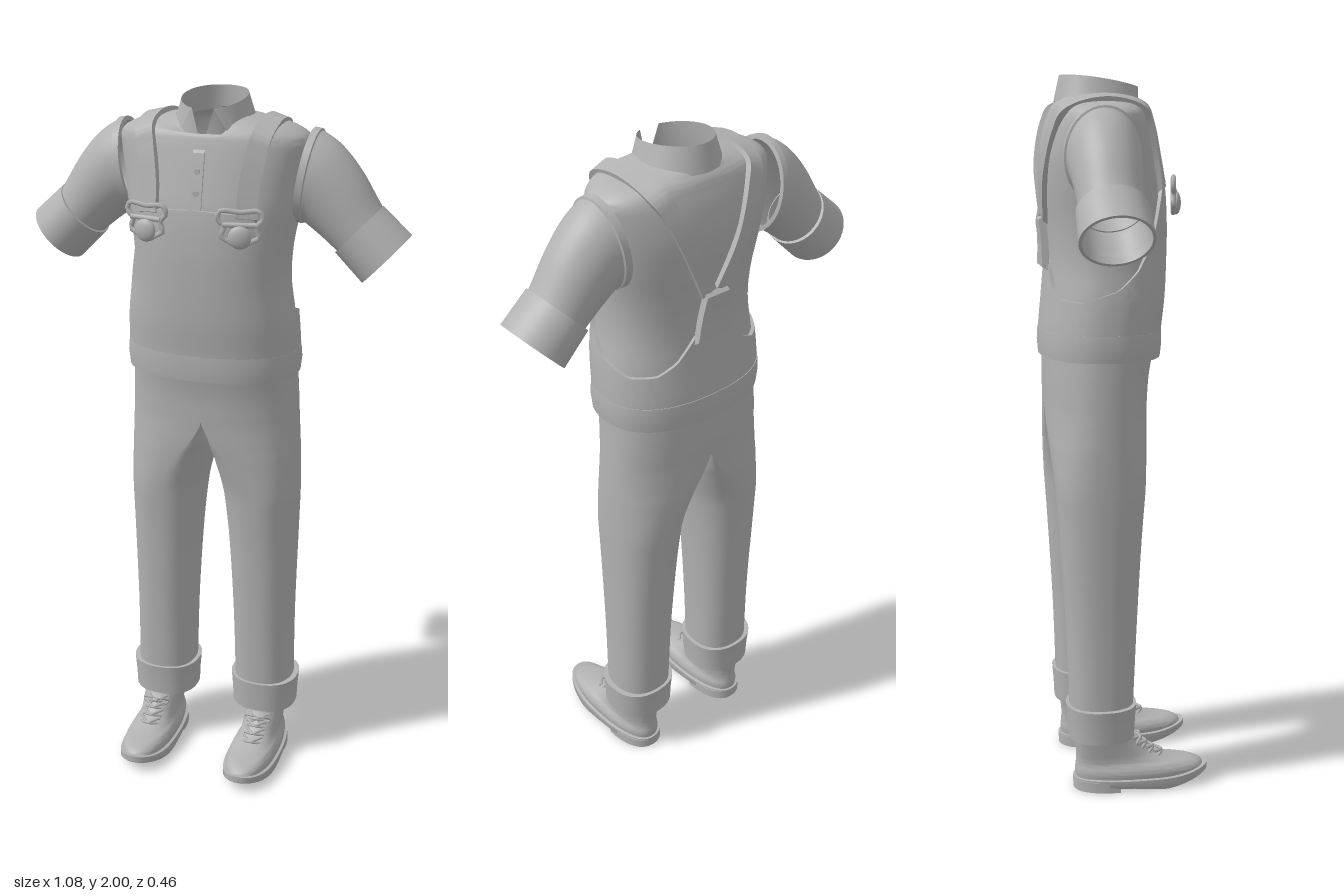
import * as THREE from 'three';
import { toCreasedNormals } from 'three/addons/utils/BufferGeometryUtils.js';

const V = (x, y, z) => new THREE.Vector3(x, y, z);
const lerp = THREE.MathUtils.lerp, TAU = Math.PI * 2, POW = 0.86;
const spow = (a) => Math.sign(a) * Math.abs(a) ** POW;

// Smooth interpolation through rows of numbers; u is a fractional row index
function sample(rows, u) {
  const n = rows.length - 1, i = Math.min(Math.floor(u), n - 1), f = u - i;
  const [a, b, c, d] = [-1, 0, 1, 2].map((k) => rows[THREE.MathUtils.clamp(i + k, 0, n)]);
  return b.map((_, k) => b[k] + 0.5 * f * (c[k] - a[k] + f * (2 * a[k] - 5 * b[k] + 4 * c[k] - d[k]
    + f * (3 * (b[k] - c[k]) + d[k] - a[k]))));
}

// Quad grid from fn(u, v); closed wraps u
function grid(fn, nu, nv, closed = true, crease = 0.7) {
  const cols = closed ? nu : nu + 1, pos = [], idx = [];
  for (let j = 0; j <= nv; j++) for (let i = 0; i < cols; i++) pos.push(...fn(i / nu, j / nv).toArray());
  for (let j = 0; j < nv; j++) for (let i = 0; i < nu; i++) {
    const a = j * cols + i, b = j * cols + (i + 1) % cols;
    idx.push(a, b, b + cols, a, b + cols, a + cols);
  }
  const g = new THREE.BufferGeometry();
  g.setAttribute('position', new THREE.Float32BufferAttribute(pos, 3));
  g.setIndex(idx);
  g.computeVertexNormals();
  return crease ? toCreasedNormals(g, crease) : g;
}

// Horizontal rounded ring; t = 0 faces the front
const ring = (t, y, cx, rx, zf, zb) =>
  V(cx + rx * spow(Math.sin(t)), y, (zf + zb) / 2 + (zf - zb) / 2 * spow(Math.cos(t)));

// Stack of rings [y, cx, rx, zFront, zBack]
function loft(rows, steps = 1, nu = 48) {
  const n = rows.length - 1;
  return grid((u, v) => ring(u * TAU, ...sample(rows, v * n)), nu, n * steps);
}

// Torso rows: y, half width, front z, back z, front neckline dip
const TORSO = [[1.24, .235, .1, -.213, 0], [1.31, .235, .105, -.213, 0], [1.4, .23, .115, -.205, 0],
  [1.5, .218, .12, -.198, 0], [1.6, .222, .121, -.203, 0], [1.7, .24, .114, -.214, 0],
  [1.78, .252, .098, -.217, 0], [1.85, .263, .082, -.205, 0], [1.89, .262, .072, -.192, 0],
  [1.915, .225, .066, -.182, .01], [1.93, .165, .062, -.17, .03], [1.942, .1, .058, -.162, .06]];
function torsoAt(t, u, off = 0) {
  const [y, rx, zf, zb, dip] = sample(TORSO, u);
  return ring(t, y - dip * Math.max(0, Math.cos(t)) ** 4, 0, rx + off, zf + off, zb - off);
}
function rowOf(y) {
  let i = 0;
  while (i < TORSO.length - 2 && y > TORSO[i + 1][0]) i++;
  return i + (y - TORSO[i][0]) / (TORSO[i + 1][0] - TORSO[i][0]);
}
// Point and outward normal on the torso at x, y on the front (1) or back (-1)
function onTorso([x, y, side]) {
  const u = rowOf(y), s = Math.min(1, Math.abs(x) / sample(TORSO, u)[1]) ** (1 / POW);
  let t = Math.asin(s);
  if (side < 0) t = Math.PI - t;
  if (x < 0) t = -t;
  const e = 0.03, p = torsoAt(t, u);
  const n = torsoAt(t + e, u).sub(torsoAt(t - e, u))
    .cross(torsoAt(t, Math.min(u + e, TORSO.length - 1)).sub(torsoAt(t, u - e))).normalize();
  if (n.dot(p.clone().sub(V(0, 1.7, -.06))) < 0) n.negate();
  return { p, n };
}

// Flat strip lying on the torso, from half width w0 to w1
function ribbon(path, w0, w1, low, high, steps = 40) {
  const pts = path.map(onTorso);
  const c = new THREE.CatmullRomCurve3(pts.map((q) => q.p)), m = new THREE.CatmullRomCurve3(pts.map((q) => q.n));
  const fn = (u, v) => {
    const k = Math.round(u * 4) % 4, end = v < .001 || v > .999, w = lerp(w0, w1, v);
    const n = m.getPoint(v).normalize(), b = c.getTangent(v).cross(n).normalize();
    return c.getPoint(v).addScaledVector(b, (k === 0 || k === 3 ? -1 : 1) * w)
      .addScaledVector(n, k < 2 || end ? low : high);
  };
  return grid(fn, 4, steps, true, 0.5);
}

// Tilted rings [cx, cy, angle in degrees, radius, z radius] for the sleeves
function tubeRings(rows, steps = 1) {
  const n = rows.length - 1;
  return grid((u, v) => {
    const [x, y, a, r, rz] = sample(rows, v * n), q = a * Math.PI / 180, c = Math.cos(u * TAU) * r;
    return V(x - Math.sin(q) * c, y + Math.cos(q) * c, -.08 + Math.sin(u * TAU) * rz);
  }, 40, n * steps);
}

// Trouser leg rows: y, inner x, outer x, front z, back z, amount joined to the other leg
const LEG = [[.19, .07, .245, .014, -.164, 0], [.45, .064, .243, .026, -.172, 0], [.7, .05, .247, .04, -.186, 0],
  [.86, .033, .25, .053, -.197, 0], [.97, .014, .249, .063, -.206, .35], [1.03, 0, .247, .069, -.21, .68],
  [1.1, 0, .244, .074, -.213, 1], [1.18, 0, .24, .08, -.214, 1], [1.26, 0, .236, .095, -.214, 1]];
function legGeometry() {
  const g = grid((u, v) => {
    const [y, xi, xo, zf, zb, j] = sample(LEG, v * (LEG.length - 1));
    const b = THREE.MathUtils.clamp(j, 0, 1), t = u * TAU;
    const p = ring(t, y, (xi + xo) / 2, (xo - xi) / 2, zf, zb);
    p.x = Math.max(0, lerp(p.x, xo * Math.max(0, spow(Math.sin(t))), b));
    return p;
  }, 48, 48, true, 0);
  // keep the centre line smooth across both halves
  const P = g.attributes.position, N = g.attributes.normal;
  for (let i = 0; i < P.count; i++) if (P.getX(i) < .002) {
    const n = V(0, N.getY(i), N.getZ(i)).normalize();
    N.setXYZ(i, n.x, n.y, n.z);
  }
  return g;
}

// Top edge of the bib by angle in degrees from the front
const BIB = [[0, 1.713], [32, 1.705], [37, 1.69], [45, 1.64], [58, 1.55], [72, 1.48], [90, 1.425], [115, 1.395],
  [140, 1.4], [155, 1.43], [164, 1.47], [170, 1.5], [180, 1.5]];
function bibTop(t) {
  const d = Math.min(t, TAU - t) * 180 / Math.PI;
  const i = Math.max(1, BIB.findIndex((k) => k[0] >= d - 1e-6));
  return lerp(BIB[i - 1][1], BIB[i][1], (d - BIB[i - 1][0]) / (BIB[i][0] - BIB[i - 1][0]));
}

export function createModel() {
  const cloth = new THREE.MeshStandardMaterial({ color: 0xb2b2b2, side: THREE.DoubleSide });
  cloth.name = 'plain grey';
  const model = new THREE.Group();
  model.name = 'workwearOutfit';
  const add = (name, geo, parent = model) => {
    const mesh = new THREE.Mesh(geo, cloth);
    mesh.name = name;
    parent.add(mesh);
    return mesh;
  };
  const wire = (pts, r, closed = false) =>
    new THREE.TubeGeometry(new THREE.CatmullRomCurve3(pts, closed), 28, r, 6, closed);

  // Shirt body, bib and waistband
  const last = TORSO.length - 1;
  add('shirt', grid((u, v) => torsoAt(u * TAU, v * last), 64, last * 4));
  add('bib', grid((u, v) => {
    const t = u * TAU, k = Math.min(1, v * 25 / 24);
    return torsoAt(t, rowOf(lerp(1.28, bibTop(t), k)), v > .99 ? -.003 : .01);
  }, 120, 25));
  add('waistband', loft([[1.238, 0, .234, .09, -.21], [1.235, 0, .245, .112, -.224], [1.272, 0, .249, .116, -.227],
    [1.308, 0, .246, .115, -.225], [1.308, 0, .232, .1, -.21]], 1, 64));

  // Collar stand and folded leaf, open at the front
  const collar = (v0, v1) => grid((u, v) => {
    const at = (k) => {
      const t = lerp(k.gap, 360 - k.gap, u) * Math.PI / 180, f = (1 + Math.cos(t)) / 2;
      return V(k.rx * Math.sin(t), lerp(k.back, k.front, f ** 1.5), -.052 + k.rz * Math.cos(t));
    };
    return at(v0).lerp(at(v1), v);
  }, 48, 4, false);
  const fold = { gap: 20, rx: .088, rz: .11, back: 2, front: 1.968 };
  add('collarStand', collar({ gap: 1, rx: .098, rz: .113, back: 1.935, front: 1.87 }, fold));
  add('collarLeaf', collar({ gap: 42, rx: .113, rz: .126, back: 1.93, front: 1.885 }, fold));

  // Button placket
  add('placket', ribbon([[0, 1.7, 1], [0, 1.78, 1], [0, 1.87, 1]], .016, .016, -.004, .005, 12));
  for (const y of [1.755, 1.81]) {
    const b = add('shirtButton', new THREE.CylinderGeometry(.008, .008, .006, 14).rotateX(Math.PI / 2));
    b.position.copy(onTorso([0, y, 1]).p).z += .006;
  }

  // Patch where the straps meet on the back
  add('backPatch', ribbon([[0, 1.47, -1], [0, 1.55, -1], [0, 1.625, -1]], .062, .035, .002, .022, 12));

  for (const side of [1, -1]) {
    const half = new THREE.Group();
    half.name = side > 0 ? 'leftHalf' : 'rightHalf';
    half.scale.x = side;
    model.add(half);

    // Sleeve with seam and turned cuff
    add('sleeve', tubeRings([[.262, 1.785, -9, .125, .1], [.297, 1.765, -22, .115, .096], [.345, 1.716, -37, .1, .09],
      [.405, 1.645, -43, .083, .084], [.46, 1.59, -43, .08, .084]], 6), half);
    add('sleeveSeam', tubeRings([[.245, 1.786, -9, .118, .096], [.247, 1.786, -9, .13, .106],
      [.266, 1.784, -9, .129, .105], [.27, 1.783, -9, .118, .095]]), half);
    add('sleeveCuff', tubeRings([[.398, 1.65, -43, .078, .082], [.398, 1.65, -43, .088, .094],
      [.477, 1.575, -43, .091, .098], [.477, 1.575, -43, .083, .09], [.41, 1.64, -43, .079, .083]]), half);

    // Shoulder strap from bib to back patch
    add('strap', ribbon([[.133, 1.685, 1], [.137, 1.78, 1], [.15, 1.86, 1], [.161, 1.908, 1], [.165, 1.93, 1],
      [.155, 1.905, -1], [.13, 1.86, -1], [.078, 1.74, -1], [.014, 1.6, -1]], .029, .022, -.006, .013, 64), half);

    // Buckle: wire loop, slide bar and bib button
    const buckle = new THREE.Group();
    buckle.name = 'buckle';
    buckle.position.set(.13, 1.675, .132);
    buckle.rotation.y = .2;
    half.add(buckle);
    add('wireLoop', wire([[-.052, .05], [0, .047], [.052, .05], [.06, .03], [.042, .008], [.05, -.018], [.03, -.03],
      [0, -.045], [-.03, -.03], [-.05, -.018], [-.042, .008], [-.06, .03]].map(([x, y]) => V(x, y, 0)), .007, true), buckle);
    add('slideBar', new THREE.CylinderGeometry(.007, .007, .09, 8).rotateZ(Math.PI / 2).translate(0, .014, .004), buckle);
    add('bibButton', new THREE.SphereGeometry(.031, 24, 12).scale(1, 1, .42).translate(0, -.018, .008), buckle);

    // Trouser leg and turn-up
    add('trouserLeg', legGeometry(), half);
    const cuffRow = (y, r) => [y, .159, r, -.075 + r - .002, -.075 - r + .002];
    add('trouserCuff', loft([cuffRow(.2, .086), cuffRow(.155, .088), cuffRow(.154, .096), cuffRow(.2, .098),
      cuffRow(.25, .102), cuffRow(.25, .086)]), half);

    // Shoe upper, sole and heel
    const shoe = new THREE.Group();
    shoe.name = 'shoe';
    half.add(shoe);
    add('shoeUpper', loft([[.03, .165, .068, .222, -.15], [.052, .165, .07, .222, -.152], [.068, .165, .063, .195, -.15],
      [.077, .165, .057, .135, -.149], [.095, .165, .055, .077, -.148], [.125, .165, .057, .037, -.15],
      [.16, .163, .062, .01, -.154], [.21, .16, .066, .0, -.155]], 4), shoe);
    const soleRows = [[.012, .01], [.012, .97], [.016, 1], [.034, 1], [.036, .9]];
    add('sole', grid((u, v) => {
      const [y, s] = soleRows[Math.round(v * 4)], p = ring(u * TAU, y, .165, .078 * s, .036 + .198 * s, .036 - .193 * s);
      p.y += .02 * Math.max(0, (p.z - .1) / .13) ** 2 - .01 * Math.max(0, 1 - Math.abs(p.z - .1) / .1) * (y < .02 ? 1 : 0);
      return p;
    }, 56, 4), shoe);
    const heelRows = [[0, .01], [0, 1], [.03, 1], [.03, .01]];
    add('heel', grid((u, v) => {
      const [y, s] = heelRows[Math.round(v * 3)], p = ring(u * TAU, y, .165, .072, .1, -.156);
      return V(lerp(.165, p.x, s), y, lerp(-.09, Math.min(p.z, -.03), s));
    }, 40, 3), shoe);

    // Crossed laces with a bow
    [[.088, .095], [.102, .07], [.117, .05], [.132, .034]].forEach(([y, z]) => {
      for (const m of [1, -1]) add('lace', wire([V(.165 - .03 * m, y - .004, z - .012), V(.165, y + .006, z + .005),
        V(.165 + .03 * m, y + .012, z - .022)], .0045), shoe);
    });
    for (const m of [1, -1]) add('laceBow', wire([V(.165, .138, .034), V(.165 + .02 * m, .146, .036),
      V(.165 + .04 * m, .132, .022), V(.165 + .022 * m, .124, .036)], .004, true), shoe);
  }
  return model;
}
